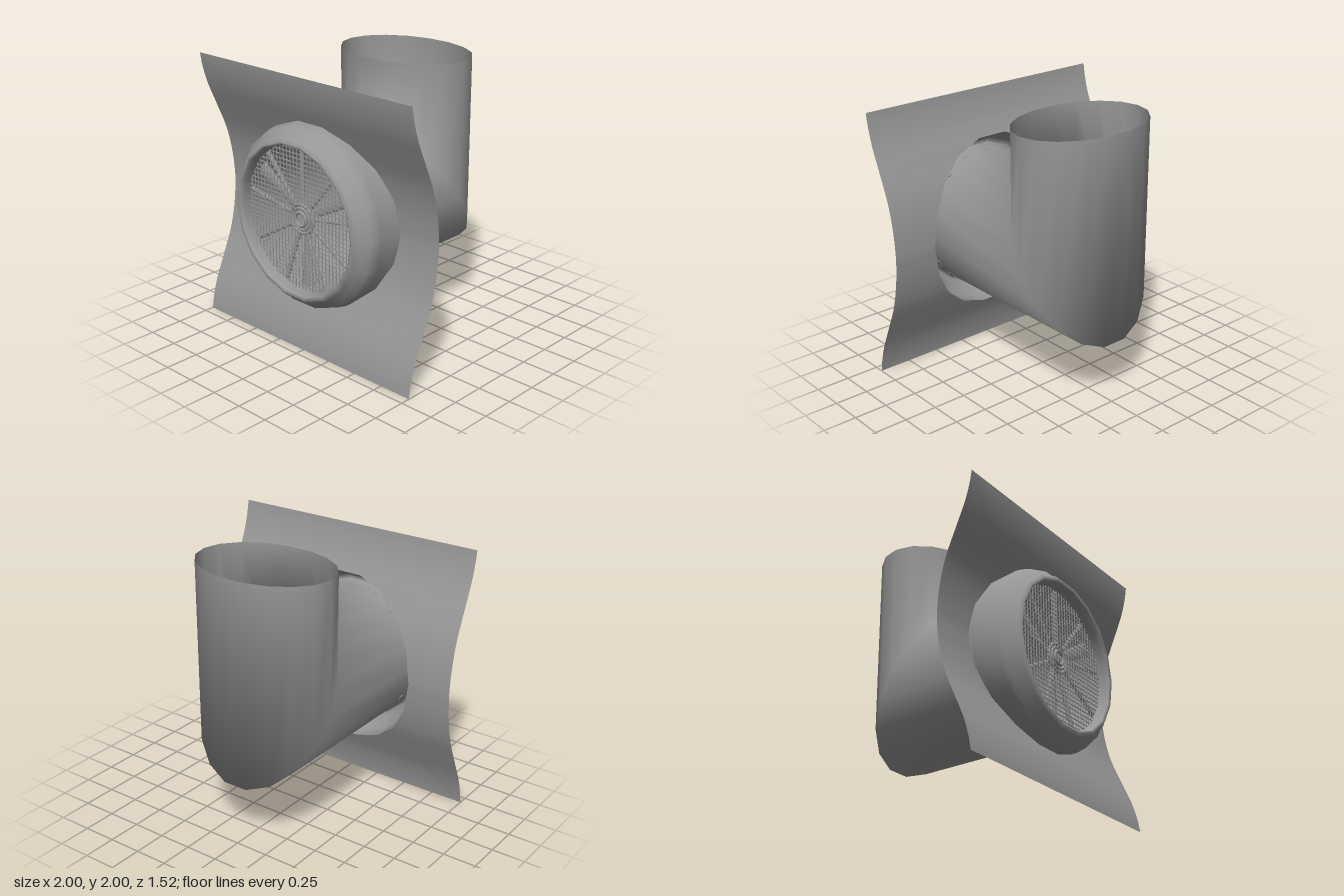
import * as THREE from 'three';

const material = new THREE.MeshStandardMaterial({ color: 0x979797, side: THREE.DoubleSide });
const SIDES = 18, CY = 1, PIPE_R = 0.533, RIM_R = 0.667;

// Skin closed loops of points: sections[i][j] = [x, y, z]
function loft(name, sections) {
  const n = sections[0].length, index = [];
  for (let i = 0; i < sections.length - 1; i++) {
    for (let j = 0; j < n; j++) {
      const a = i * n + j, b = i * n + (j + 1) % n;
      index.push(a, a + n, b, b, a + n, b + n);
    }
  }
  const geometry = new THREE.BufferGeometry();
  geometry.setAttribute('position', new THREE.Float32BufferAttribute(sections.flat(2), 3));
  geometry.setIndex(index);
  geometry.computeVertexNormals();
  const mesh = new THREE.Mesh(geometry, material);
  mesh.name = name;
  return mesh;
}

// One loop around the z axis; point(cos, sin, angle) gives the position
function loop(count, point) {
  return Array.from({ length: count }, (_, j) => {
    const a = (j / count) * Math.PI * 2;
    return point(Math.cos(a), Math.sin(a), a);
  });
}

function add(parent, name, geometry, x, y, z) {
  const mesh = new THREE.Mesh(geometry, material);
  mesh.name = name;
  mesh.position.set(x, y, z);
  parent.add(mesh);
  return mesh;
}

// Depth of the curved panel by distance from its middle height
const bend = new THREE.SplineCurve([
  [0, 0.402], [0.2, 0.42], [0.4, 0.467], [0.6, 0.55], [0.8, 0.634], [1, 0.68],
].map(([x, y]) => new THREE.Vector2(x, y)));
const panelZ = (y) => bend.getPoint(Math.min(1, Math.abs(y - CY))).y;

// Curved square panel with a polygonal opening
function makePanel() {
  const steps = 14, step = (Math.PI * 2) / SIDES;
  const sections = [];
  for (let i = 0; i <= steps; i++) {
    sections.push(loop(144, (c, s, a) => {
      const hole = RIM_R * Math.cos(step / 2) / Math.cos((a % step) - step / 2);
      const edge = 1 / Math.max(Math.abs(c), Math.abs(s));
      const r = hole + (edge - hole) * (i / steps);
      return [r * c, CY + r * s, panelZ(CY + r * s)];
    }));
  }
  return loft('curvedPanel', sections);
}

// Flared rim whose back edge follows the panel
function makeRim() {
  const profile = [[0.533, 0.64], [0.535, 0.72], [0.542, 0.75], [0.56, 0.762],
    [0.585, 0.74], [0.61, 0.697], [0.65, 0.663], [0.66, 0.62], [RIM_R, 0.585]];
  const sections = profile.map(([r, z]) => loop(SIDES, (c, s) => [r * c, CY + r * s, z]));
  sections.push(loop(SIDES, (c, s) => [RIM_R * c, CY + RIM_R * s, panelZ(CY + RIM_R * s)]));
  return loft('rim', sections);
}

// Mitred elbow: round horizontal run, oval vertical run
function makeElbow() {
  const miterZ = (s) => -0.387 + 0.38 * s;
  return loft('elbowPipe', [
    loop(SIDES, (c, s) => [PIPE_R * c, CY + PIPE_R * s, 0.64]),
    loop(SIDES, (c, s) => [PIPE_R * c, CY + PIPE_R * s, miterZ(s)]),
    loop(SIDES, (c, s) => [PIPE_R * c, 2, miterZ(s)]),
  ]);
}

// Fine wire mesh in front of spokes, hub rings and three rear struts
function makeGrille() {
  const grille = new THREE.Group();
  grille.name = 'grille';
  grille.position.set(0, CY, 0);

  const pitch = 0.033, radius = 0.53, wire = 0.006;
  for (let i = -15; i <= 15; i++) {
    const d = i * pitch, length = 2 * Math.sqrt(radius * radius - d * d);
    add(grille, 'meshWireUpright', new THREE.BoxGeometry(wire, length, wire), d, 0, 0.672);
    add(grille, 'meshWireCross', new THREE.BoxGeometry(length, wire, wire), 0, d, 0.672);
  }

  for (let i = 0; i < 9; i++) {
    const spoke = new THREE.Group();
    spoke.name = 'spoke';
    spoke.rotation.z = (i * Math.PI * 2) / 9;
    add(spoke, 'spokeBar', new THREE.CylinderGeometry(0.018, 0.014, 0.43, 8), 0, 0.315, 0.652);
    grille.add(spoke);
  }

  for (let i = 0; i < 3; i++) {
    const strut = new THREE.Group();
    strut.name = 'rearStrut';
    strut.rotation.z = Math.PI + (i * Math.PI * 2) / 3;
    const bar = add(strut, 'rearStrutBar', new THREE.CylinderGeometry(0.055, 0.03, 0.41, 12), 0, 0.305, 0.615);
    bar.scale.z = 0.4;
    grille.add(strut);
  }

  for (const [r, tube, z] of [[0.105, 0.012, 0.665], [0.078, 0.01, 0.67], [0.05, 0.012, 0.678]]) {
    add(grille, 'hubRing', new THREE.TorusGeometry(r, tube, 8, 28), 0, 0, z);
  }
  return grille;
}

export function createModel() {
  const model = new THREE.Group();
  model.name = 'wallVent';
  model.add(makePanel(), makeRim(), makeElbow(), makeGrille());
  return model;
}
